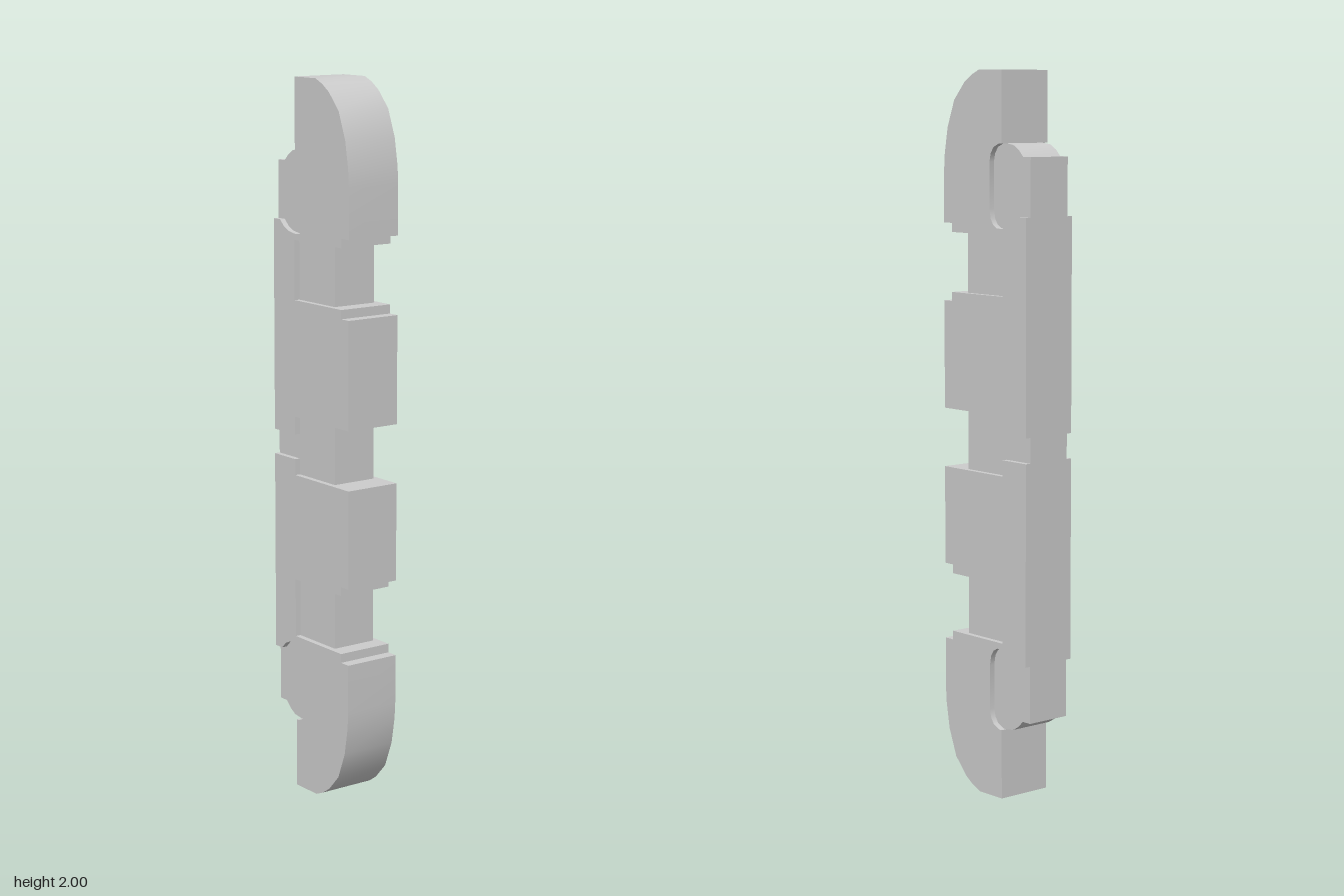
import * as THREE from 'three';
import { toCreasedNormals } from 'three/addons/utils/BufferGeometryUtils.js';

const OUTER_WIDTH = 0.164;
const CORE_WIDTH = 0.132;
const BACK = -0.17;

// Profiles are [z, y] points of the upper half
const lobeTop = [[-0.02, 1.755], [-0.025, 1.778], [-0.037, 1.795], [-0.06, 1.805], [-0.07, 1.805]];
const lobeTail = [[-0.1, 1.801], [-0.122, 1.788], [-0.14, 1.77]];
const lobeBottom = [[-0.14, 1.61], [-0.122, 1.592], [-0.1, 1.582], [-0.07, 1.577],
  [-0.05, 1.578], [-0.035, 1.587], [-0.025, 1.603], [-0.02, 1.63]];
const capCurve = [[0.025, 2], [0.055, 1.987], [0.085, 1.967], [0.128, 1.92],
  [0.157, 1.845], [0.17, 1.77], [0.173, 1.72]];

const flip = (points) => points.map(([z, y]) => [z, 2 - y]);

// Extrudes a side profile across x, centred
function slab(name, points, width, material) {
  const shape = new THREE.Shape(points.map(([z, y]) => new THREE.Vector2(z, y)));
  const geometry = new THREE.ExtrudeGeometry(shape, { depth: width, bevelEnabled: false });
  geometry.translate(0, 0, -width / 2);
  geometry.rotateY(-Math.PI / 2);
  const mesh = new THREE.Mesh(toCreasedNormals(geometry, 0.6), material);
  mesh.name = name;
  return mesh;
}

// Full-width half: rounded cap, notch, stepped block and back strip
function halfProfile(blockEnd, stripEnd) {
  return [
    [BACK, stripEnd], [BACK, 1.61],
    ...lobeBottom, ...lobeTop,
    [-0.07, 2], ...capCurve,
    [0.173, 1.585], [0.14, 1.585], [0.14, 1.56],
    [-0.073, 1.56], [-0.073, 1.395],
    [0.14, 1.395], [0.14, 1.37], [0.173, 1.37],
    [0.173, blockEnd], [-0.073, blockEnd], [-0.073, stripEnd],
  ];
}

export function createModel() {
  const group = new THREE.Group();
  group.name = 'notchedBar';
  const material = new THREE.MeshStandardMaterial({ color: 0xcccccc });

  group.add(slab('upperShell', halfProfile(1.07, 1.02), OUTER_WIDTH, material));
  group.add(slab('lowerShell', flip(halfProfile(1.095, 1.05)), OUTER_WIDTH, material));

  // Narrow core running through both halves, ending in a rounded lobe
  const coreUpper = [[0.09, 1.58], [-0.02, 1.58], ...lobeTop, ...lobeTail, [BACK, 1.77]];
  group.add(slab('core', [...coreUpper, ...flip(coreUpper).reverse()], CORE_WIDTH, material));

  return group;
}
